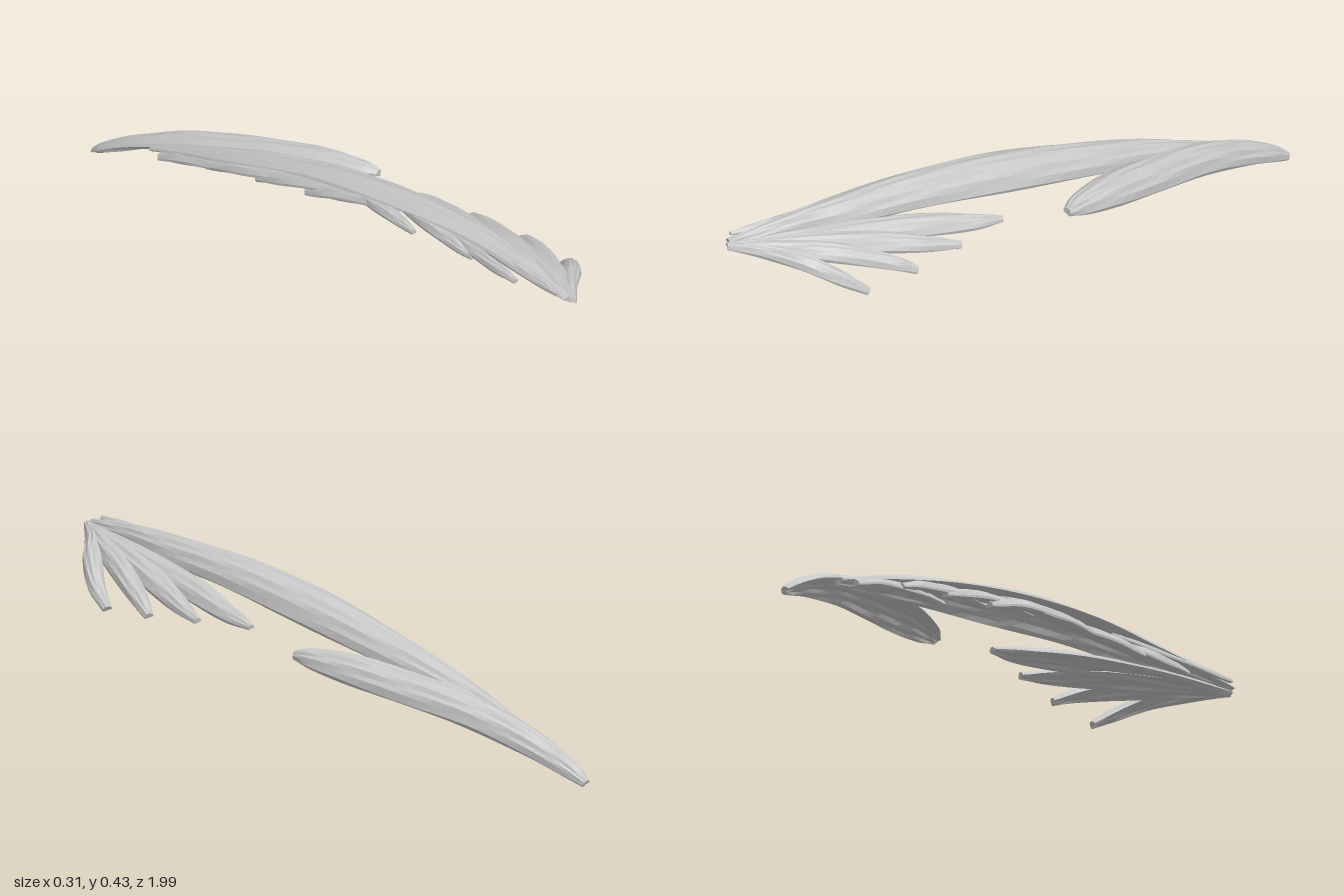
import * as THREE from 'three';

const ash = new THREE.MeshStandardMaterial({ color: 0xc8c8c8, flatShading: true });
ash.name = 'ash grey';

const UP = new THREE.Vector3(0, 1, 0);

// Sweeps a ridged, arched blade section along stations listed from front (+z) to back.
// Station: [x, y, z, half width, thickness]. arch lifts the middle, roll tips the +x edge down.
function strand(name, stations, { arch = 0.4, roll = 0.4, rings = 18, across = 8, seed = 1 } = {}) {
  const path = new THREE.CatmullRomCurve3(stations.map(s => new THREE.Vector3(s[0], s[1], s[2])), false, 'catmullrom');
  const size = new THREE.CatmullRomCurve3(stations.map(s => new THREE.Vector3(s[3], s[4], 0)), false, 'catmullrom');
  const pos = [], index = [], n = 2 * (across + 1);
  for (let i = 0; i <= rings; i++) {
    const t = i / rings;
    const p = path.getPoint(t), { x: w, y: thick } = size.getPoint(t);
    const T = path.getTangent(t);
    const S = new THREE.Vector3().crossVectors(T, UP).normalize();
    const U = new THREE.Vector3().crossVectors(S, T);
    for (let j = 0; j < n; j++) {
      const top = j <= across;
      const u = ((top ? j : n - 1 - j) / across) * 2 - 1;
      const body = Math.sqrt(1 - u * u) * 0.75 + 0.25;
      // shallow fibre grooves that drift along the blade
      const groove = 0.08 * thick * Math.sin(j * 2.6 + i * 0.55 + seed * 1.7);
      const a = u * w;
      const b = arch * w * (0.6 - u * u) + (top ? 0.5 : -0.5) * thick * body + groove;
      const c = Math.cos(roll), s = Math.sin(roll);
      const q = p.clone().addScaledVector(S, a * c + b * s).addScaledVector(U, b * c - a * s);
      pos.push(q.x, q.y, q.z);
    }
  }
  for (let i = 0; i < rings; i++) {
    for (let j = 0; j < n; j++) {
      const a = i * n + j, b = i * n + (j + 1) % n;
      index.push(a, b, a + n, b, b + n, a + n);
    }
  }
  // end caps
  const e = rings * n;
  for (let j = 0; j < across; j++) {
    const k = n - 1 - j;
    index.push(j, k, j + 1, j + 1, k, k - 1);
    index.push(e + j, e + j + 1, e + k, e + j + 1, e + k - 1, e + k);
  }
  const g = new THREE.BufferGeometry();
  g.setAttribute('position', new THREE.Float32BufferAttribute(pos, 3));
  g.setIndex(index);
  g.computeVertexNormals();
  const mesh = new THREE.Mesh(g, ash);
  mesh.name = name;
  return mesh;
}

export function createModel() {
  const group = new THREE.Group();
  group.name = 'featherSpray';

  // Long arched main plume
  group.add(strand('mainPlume', [
    [-0.13, 0.39, 0.975, 0.014, 0.014], [-0.105, 0.4, 0.8, 0.033, 0.026],
    [-0.08, 0.4, 0.6, 0.052, 0.028], [-0.07, 0.388, 0.36, 0.064, 0.028],
    [-0.064, 0.352, 0.08, 0.071, 0.028], [-0.067, 0.293, -0.2, 0.062, 0.028],
    [-0.085, 0.218, -0.47, 0.046, 0.028], [-0.1, 0.13, -0.75, 0.014, 0.018],
  ], { arch: 0.5, roll: 0.45, rings: 36, across: 10 }));

  // Broad rear blade that crosses under the main plume
  group.add(strand('rearBlade', [
    [0.12, 0.256, -0.05, 0.014, 0.02], [0.104, 0.256, -0.11, 0.036, 0.03],
    [0.07, 0.244, -0.25, 0.055, 0.034], [0.028, 0.215, -0.42, 0.059, 0.034],
    [-0.024, 0.172, -0.62, 0.055, 0.034], [-0.068, 0.11, -0.8, 0.046, 0.03],
    [-0.092, 0.05, -0.93, 0.031, 0.024], [-0.098, 0.014, -0.992, 0.013, 0.014],
  ], { arch: 0.5, roll: 0.5, rings: 30, across: 10, seed: 2 }));

  // Front fan of four feathers: stations are listed root to tip
  const root = [-0.12, 0.386, 0.985, 0.012, 0.014];
  const fan = [
    [[-0.055, 0.368, 0.75, 0.036, 0.026], [0.015, 0.335, 0.45, 0.044, 0.028], [0.064, 0.305, 0.26, 0.03, 0.025], [0.083, 0.288, 0.155, 0.011, 0.014]],
    [[-0.045, 0.37, 0.8, 0.034, 0.026], [0.035, 0.338, 0.58, 0.04, 0.028], [0.095, 0.302, 0.42, 0.027, 0.025], [0.122, 0.28, 0.33, 0.012, 0.016]],
    [[-0.04, 0.372, 0.85, 0.03, 0.026], [0.042, 0.345, 0.7, 0.037, 0.028], [0.112, 0.3, 0.57, 0.027, 0.025], [0.144, 0.265, 0.5, 0.013, 0.016]],
    [[-0.05, 0.374, 0.9, 0.024, 0.026], [0.035, 0.352, 0.825, 0.029, 0.028], [0.105, 0.304, 0.745, 0.026, 0.025], [0.137, 0.25, 0.67, 0.014, 0.016]],
  ];
  fan.forEach((f, i) => group.add(strand('fanFeather' + (i + 1), [root, ...f], { roll: 0.3, seed: 3 + i })));

  // Barbs along the right edge of the main plume, pointing forward
  const forward = [[-0.139, 0.366, 0.77], [-0.129, 0.36, 0.585], [-0.134, 0.345, 0.35]];
  forward.forEach(([x, y, z], i) => group.add(strand('forwardBarb' + (i + 1), [
    [x, y, z, 0.008, 0.014], [x + 0.012, y + 0.006, z - 0.08, 0.02, 0.024],
    [x + 0.032, y + 0.008, z - 0.2, 0.024, 0.026], [x + 0.055, y + 0.004, z - 0.36, 0.012, 0.016],
  ], { roll: -0.2, seed: 8 + i })));

  // Barbs on the same edge, pointing back
  const back = [[-0.122, 0.278, -0.1], [-0.123, 0.238, -0.3], [-0.126, 0.192, -0.5], [-0.122, 0.132, -0.7]];
  back.forEach(([x, y, z], i) => group.add(strand('rearBarb' + (i + 1), [
    [x + 0.045, y + 0.105, z + 0.44, 0.012, 0.016], [x + 0.028, y + 0.08, z + 0.28, 0.026, 0.026],
    [x + 0.012, y + 0.042, z + 0.12, 0.026, 0.028], [x, y, z, 0.011, 0.018],
  ], { roll: 0, seed: 12 + i })));

  // Short upper wisp wrapped around the front tip
  group.add(strand('tipWisp', [
    [-0.148, 0.405, 0.955, 0.006, 0.01], [-0.13, 0.404, 0.85, 0.018, 0.02],
    [-0.108, 0.406, 0.68, 0.022, 0.02], [-0.09, 0.402, 0.48, 0.01, 0.014],
  ], { roll: -0.2, seed: 17 }));

  return group;
}
